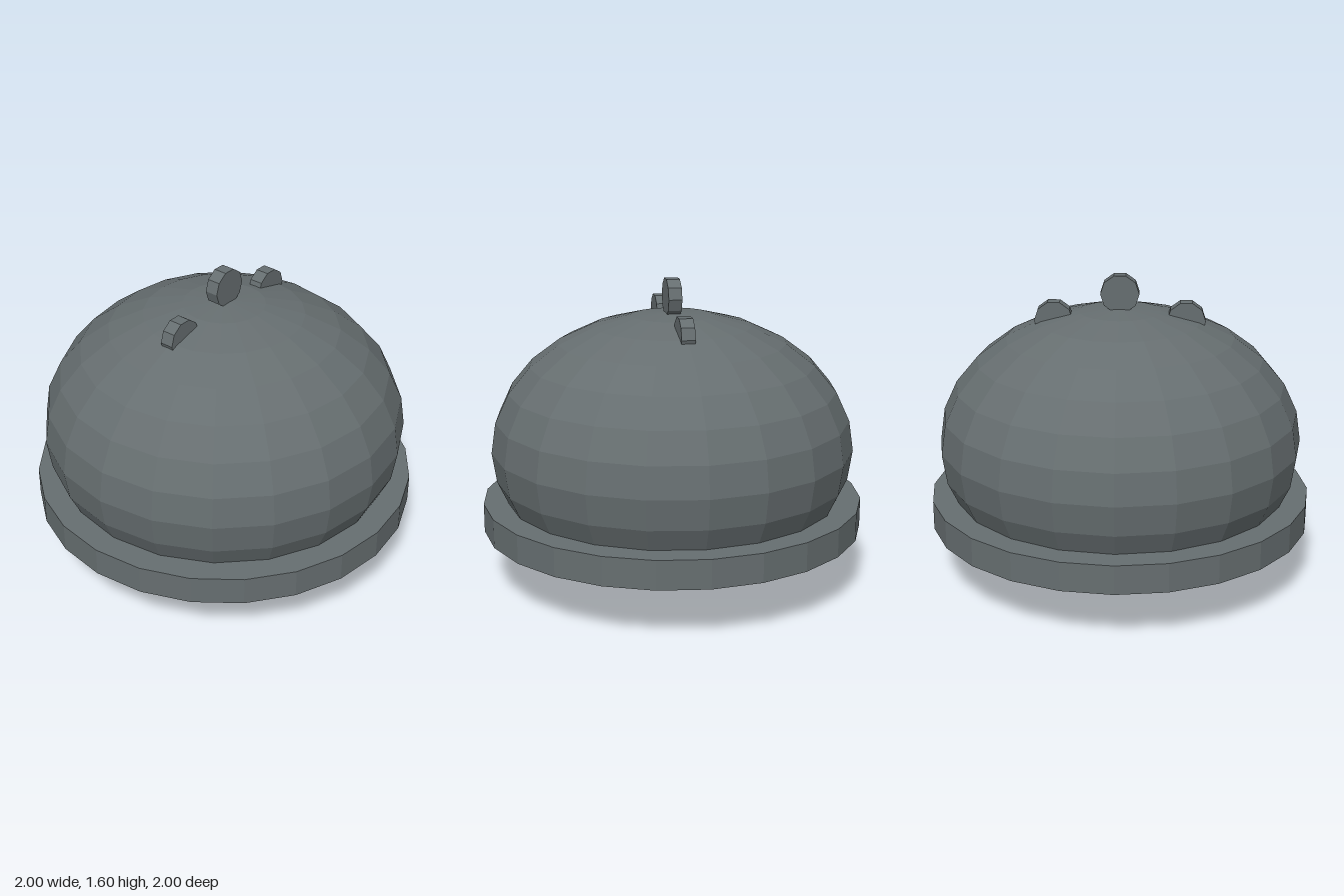
import * as THREE from 'three';

export function createModel() {
  const model = new THREE.Group();
  const grey = new THREE.MeshStandardMaterial({ color: 0x666e70, flatShading: true });
  grey.name = 'slate grey';

  function add(name, geometry, x, y, z) {
    const mesh = new THREE.Mesh(geometry, grey);
    mesh.name = name;
    mesh.position.set(x, y, z);
    model.add(mesh);
    return mesh;
  }

  // Squashed faceted dome body
  add('body', new THREE.SphereGeometry(0.95, 20, 14).scale(1, 0.712 / 0.95, 1), 0, 0.712, 0);

  // Wide flat rim around the lower body
  add('rim', new THREE.CylinderGeometry(1, 1, 0.15, 24), 0, 0.363, 0);

  // Row of upright discs along the crown, front to back
  const disc = new THREE.CylinderGeometry(0.1, 0.1, 0.07, 10).rotateZ(Math.PI / 2);
  add('centreDisc', disc, 0, 1.5, 0);
  add('frontDisc', disc, 0, 1.36, 0.34);
  add('backDisc', disc, 0, 1.36, -0.34);

  return model;
}
